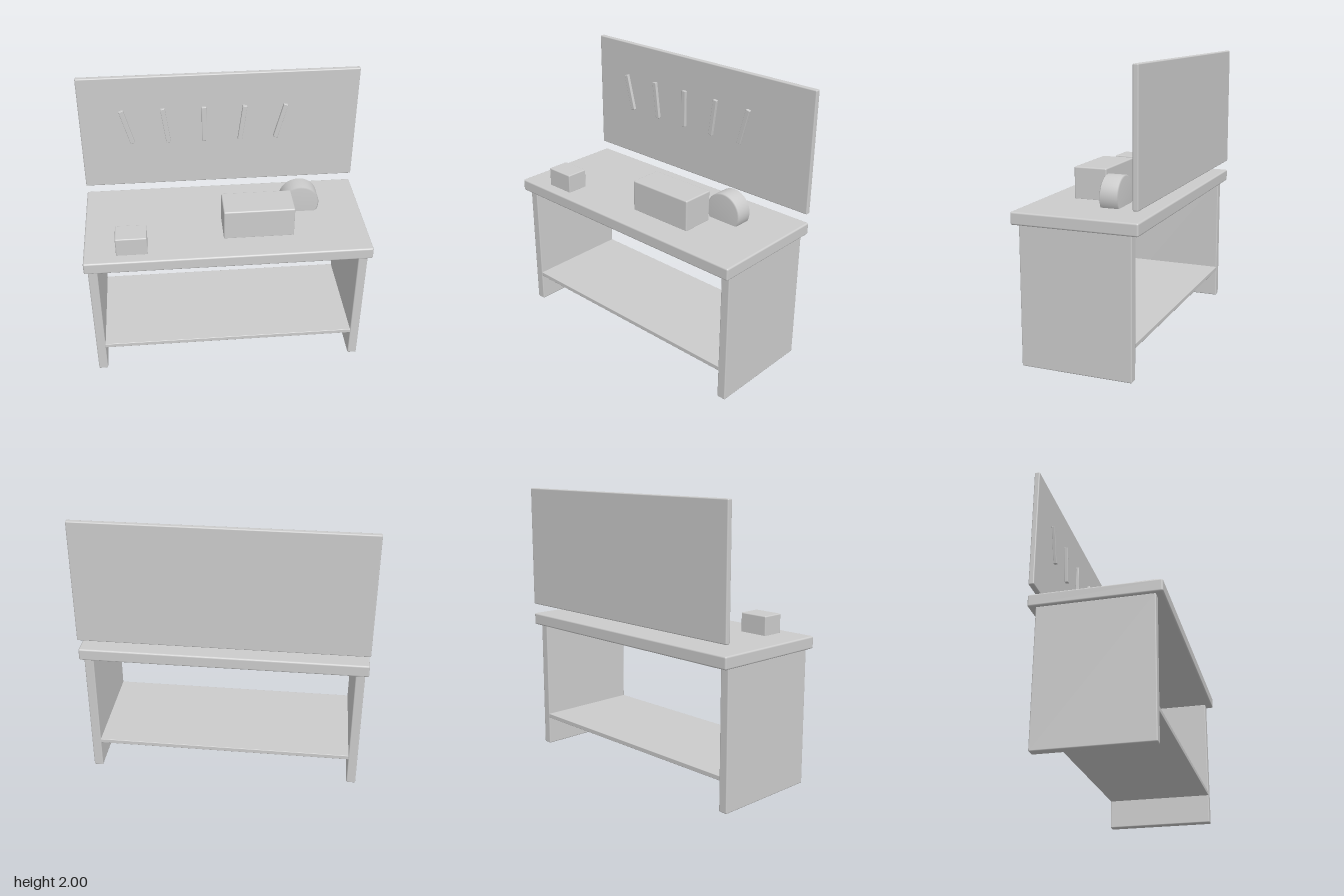
import * as THREE from 'three';
import { RoundedBoxGeometry } from 'three/addons/geometries/RoundedBoxGeometry.js';

export function createModel() {
  const model = new THREE.Group();
  model.name = 'workbench';
  const grey = new THREE.MeshStandardMaterial({ color: 0xcccccc });
  grey.name = 'plain grey';

  // Softly bevelled block given by its extents on each axis
  function block(name, [x0, x1], [y0, y1], [z0, z1], bevel = 0.008) {
    const geometry = new RoundedBoxGeometry(x1 - x0, y1 - y0, z1 - z0, 2, bevel);
    const mesh = new THREE.Mesh(geometry, grey);
    mesh.name = name;
    mesh.position.set((x0 + x1) / 2, (y0 + y1) / 2, (z0 + z1) / 2);
    model.add(mesh);
    return mesh;
  }

  // Bench: top, side panels and lower shelf
  block('benchTop', [-1, 1], [0.96, 1.047], [-0.44, 0.44], 0.012);
  block('leftSidePanel', [0.912, 0.978], [0, 0.965], [-0.39, 0.39]);
  block('rightSidePanel', [-0.978, -0.912], [0, 0.965], [-0.39, 0.39]);
  block('lowerShelf', [-0.915, 0.915], [0.21, 0.242], [-0.388, 0.388], 0.004);

  // Tool board floating behind the bench top
  block('toolBoard', [-1, 1], [1.12, 2], [-0.44, -0.402]);

  // Fan of hanging tools
  for (let i = -2; i <= 2; i++) {
    const x = -0.112 + i * 0.277;
    const tool = block('hangingTool', [x - 0.0165, x + 0.0165], [1.478, 1.752], [-0.403, -0.379], 0.004);
    tool.rotation.z = -i * 0.13;
  }

  // Boxes on the bench
  block('toolbox', [-0.024, 0.473], [1.04, 1.268], [-0.006, 0.232], 0.01);
  block('smallBox', [-0.776, -0.559], [1.04, 1.182], [0.198, 0.36], 0.008);

  // Round drum lying on its side, sunk into the bench top
  const r = 0.138, h = 0.0665, b = 0.008;
  const profile = [[0, -h], [r - b, -h], [r, b - h], [r, h - b], [r - b, h], [0, h]]
    .map(([x, y]) => new THREE.Vector2(x, y));
  const drum = new THREE.Mesh(new THREE.LatheGeometry(profile, 40), grey);
  drum.name = 'drum';
  drum.rotation.x = Math.PI / 2;
  drum.position.set(0.554, 1.113, -0.113);
  model.add(drum);

  return model;
}
